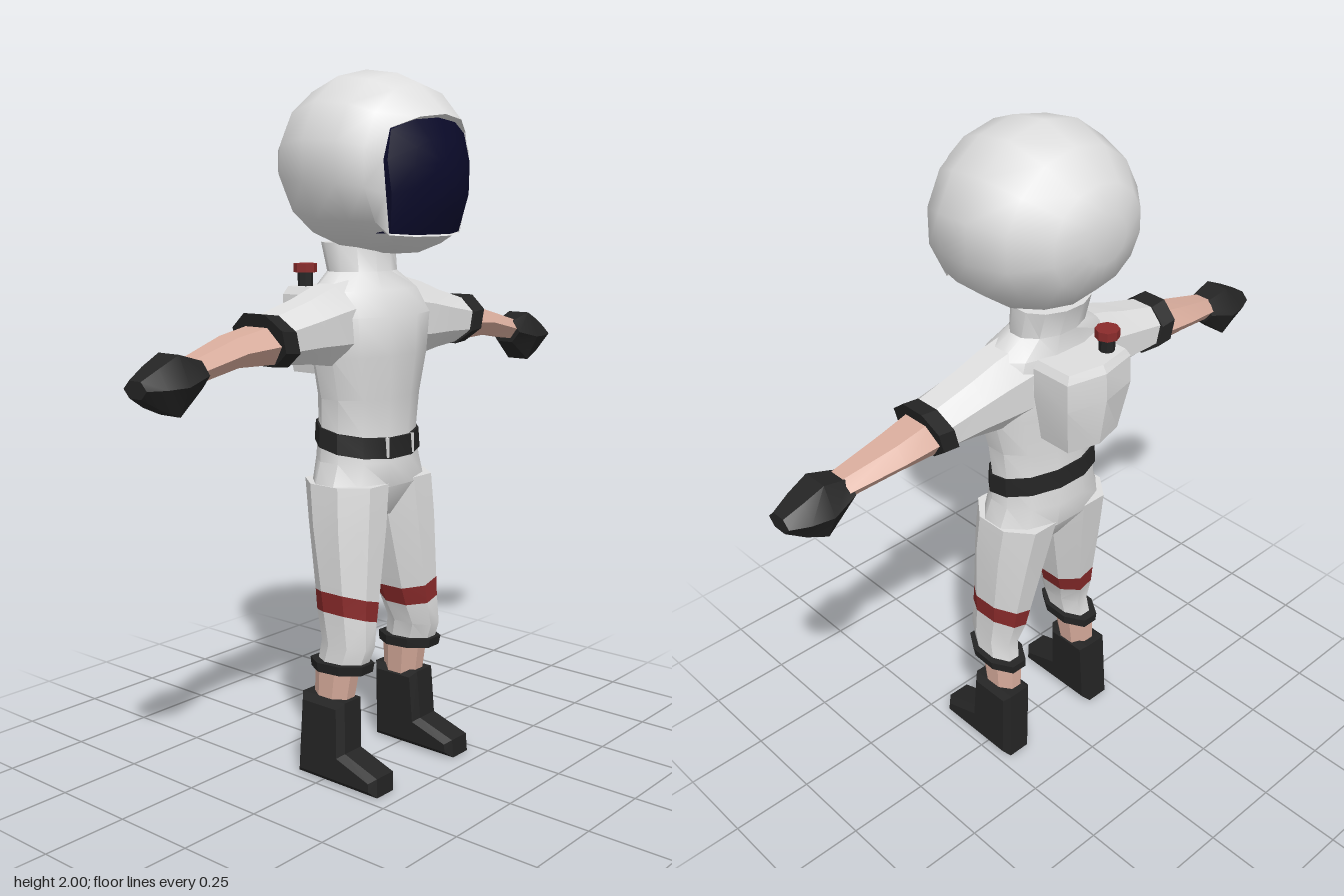
import * as THREE from 'three';
import { toCreasedNormals } from 'three/addons/utils/BufferGeometryUtils.js';

const mat = (name, color) => Object.assign(new THREE.MeshStandardMaterial({ color }), { name });

// Skin a list of equal rings; flip reverses the winding for mirrored parts
function loft(rings, { flip = false, capStart = true, capEnd = true, crease = 0.5 } = {}) {
  const n = rings[0].length, pos = rings.flat(2), idx = [];
  const tri = (a, b, c) => (flip ? idx.push(a, c, b) : idx.push(a, b, c));
  for (let j = 0; j < rings.length - 1; j++) {
    for (let i = 0; i < n; i++) {
      const a = j * n + i, b = j * n + (i + 1) % n;
      tri(a, b, a + n);
      tri(b, b + n, a + n);
    }
  }
  const cap = (j, end) => {
    const c = pos.length / 3;
    for (let k = 0; k < 3; k++) pos.push(rings[j].reduce((s, p) => s + p[k], 0) / n);
    for (let i = 0; i < n; i++) {
      const a = j * n + i, b = j * n + (i + 1) % n;
      end ? tri(c, a, b) : tri(c, b, a);
    }
  };
  if (capStart) cap(0, false);
  if (capEnd) cap(rings.length - 1, true);
  const g = new THREE.BufferGeometry();
  g.setAttribute('position', new THREE.Float32BufferAttribute(pos, 3));
  g.setIndex(idx);
  return toCreasedNormals(g, crease);
}

// Flat-sided polygon filling a box: unit [cos, sin] pairs
const polygon = n => Array.from({ length: n }, (_, i) => {
  const t = (i + 0.5) * 2 * Math.PI / n, k = 1 / Math.cos(Math.PI / n);
  return [k * Math.cos(t), k * Math.sin(t)];
});

// Horizontal ring, optionally tilted across x or z
const ringY = (n, y, x0, x1, z0, z1, tx = 0, tz = 0) => polygon(n).map(([c, s]) => {
  const dx = c * (x1 - x0) / 2, dz = -s * (z1 - z0) / 2;
  return [(x0 + x1) / 2 + dx, y + tx * dx + tz * dz, (z0 + z1) / 2 + dz];
});

// Upright ring across x, its top leaning outwards by lean
const ringX = (n, x, y0, y1, z0, z1, lean = 0) => polygon(n).map(([c, s]) => {
  const dy = c * (y1 - y0) / 2;
  return [x + lean * dy, (y0 + y1) / 2 + dy, (z0 + z1) / 2 + s * (z1 - z0) / 2];
});

export function createModel() {
  const model = new THREE.Group();
  model.name = 'astronaut';
  const white = mat('suitWhite', 0xdedede), black = mat('rubberBlack', 0x242424);
  const skin = mat('skin', 0xd8ac9c), red = mat('red', 0x8a2b2b), navy = mat('visorNavy', 0x0b0b2b);
  const add = (name, geo, material, parent = model) => {
    const m = new THREE.Mesh(geo, material);
    m.name = name;
    parent.add(m);
    return m;
  };

  // Helmet: rings from back to front, ending in the face opening
  const HALF = 7;
  const mirrorRing = half => [
    ...half.map(([x, y, z]) => [-x, y, z]),
    ...half.slice(1, HALF).reverse()
  ];
  const shell = [
    [-0.245, 0.07, 1.82, 1.69], [-0.215, 0.155, 1.89, 1.61], [-0.13, 0.235, 1.96, 1.535],
    [-0.02, 0.27, 2.0, 1.5], [0.09, 0.262, 1.985, 1.5], [0.165, 0.235, 1.955, 1.505]
  ].map(([z, r, top, bottom]) => mirrorRing(Array.from({ length: HALF + 1 }, (_, i) => {
    const t = Math.PI * i / HALF;
    return [r * Math.sin(t), (top + bottom) / 2 + (top - bottom) / 2 * Math.cos(t), z];
  })));
  const opening = mirrorRing([
    [0, 1.87, 0.255], [0.09, 1.86, 0.24], [0.165, 1.83, 0.2], [0.186, 1.75, 0.195],
    [0.175, 1.66, 0.195], [0.155, 1.555, 0.19], [0.08, 1.55, 0.22], [0, 1.55, 0.235]
  ]);
  const MID = 1.71;
  const shrink = (k, zRule) => opening.map(([x, y, z]) => {
    const px = x * k, py = MID + (y - MID) * k;
    return [px, py, zRule(px, py, z)];
  });
  const lip = shrink(0.95, (x, y, z) => z - 0.025);
  add('helmet', loft([...shell, opening, lip], { capEnd: false, crease: 0.9 }), white);

  // Domed visor
  const dome = (x, y) => 0.265 - 1.8 * x * x - 1.5 * (y - MID) ** 2;
  add('visor', loft([
    shrink(0.97, (x, y) => dome(x, y) - 0.05),
    ...[0.97, 0.6, 0.25].map(k => shrink(k, dome))
  ], { capStart: false, crease: 0.6 }), navy);

  // Torso from crotch to neck
  add('torso', loft([
    [0.755, 0.04, -0.07, 0.06], [0.85, 0.195, -0.135, 0.11], [0.92, 0.168, -0.138, 0.107],
    [1.0, 0.163, -0.13, 0.098], [1.1, 0.17, -0.125, 0.105], [1.22, 0.2, -0.13, 0.116],
    [1.33, 0.215, -0.13, 0.118], [1.4, 0.19, -0.125, 0.08], [1.45, 0.115, -0.115, 0.045],
    [1.53, 0.115, -0.14, 0.04]
  ].map(([y, w, z0, z1]) => ringY(12, y, -w, w, z0, z1)), { crease: 0.7 }), white);

  // Belt, higher at the back, with narrow gaps beside the buckle
  add('belt', loft([
    ringY(12, 0.955, -0.172, 0.172, -0.141, 0.11, 0, -0.2),
    ringY(12, 1.012, -0.17, 0.17, -0.136, 0.105, 0, -0.2)
  ]), black);
  for (const s of [-1, 1]) {
    add('buckleGap', new THREE.BoxGeometry(0.008, 0.056, 0.009), white).position.set(s * 0.055, 0.962, 0.103);
  }

  // Boot: side profile extruded across with a chamfer
  const profile = new THREE.Shape([
    [-0.098, 0], [0.198, 0], [0.195, 0.055], [0.075, 0.095], [0.068, 0.242], [-0.092, 0.242]
  ].map(([z, y]) => new THREE.Vector2(z, y)));
  const makeBoot = s => {
    const g = new THREE.ExtrudeGeometry(profile, {
      depth: 0.07, bevelEnabled: true, bevelSegments: 1, bevelSize: 0.018, bevelThickness: 0.018, bevelOffset: -0.018
    });
    g.translate(0, 0, -0.035).rotateY(-Math.PI / 2);
    const p = g.attributes.position;
    for (let i = 0; i < p.count; i++) p.setX(i, p.getX(i) + s * (0.178 - 0.05 * p.getY(i)));
    g.computeVertexNormals();
    return g;
  };

  for (const s of [1, -1]) {
    const side = s > 0 ? 'left' : 'right';
    const limb = rings => loft(rings.map(r => r.map(([x, y, z]) => [s * x, y, z])), { flip: s < 0 });

    // Leg with red knee band, cuff, bare ankle and boot
    const leg = new THREE.Group();
    leg.name = side + 'Leg';
    model.add(leg);
    const bandTop = ringY(8, 0.535, 0.067, 0.2, -0.076, 0.115, 0.3);
    const bandBottom = ringY(8, 0.478, 0.083, 0.197, -0.068, 0.116, 0.3);
    add('thigh', limb([bandTop, ringY(8, 0.74, 0.018, 0.203, -0.112, 0.114), ringY(8, 0.86, 0, 0.195, -0.134, 0.11)]), white, leg);
    add('kneeBand', limb([bandBottom, bandTop]), red, leg);
    add('shin', limb([ringY(8, 0.345, 0.108, 0.2, -0.055, 0.1), ringY(8, 0.4, 0.103, 0.196, -0.046, 0.12), bandBottom]), white, leg);
    add('legCuff', limb([ringY(8, 0.322, 0.094, 0.214, -0.078, 0.112, 0, 0.06), ringY(8, 0.35, 0.092, 0.218, -0.08, 0.118, 0, 0.06)]), black, leg);
    add('ankle', limb([ringY(8, 0.22, 0.118, 0.2, -0.068, 0.05), ringY(8, 0.335, 0.108, 0.2, -0.068, 0.07)]), skin, leg);
    add('boot', makeBoot(s), black, leg);

    // Arm with sleeve, cuff, bare forearm and gloved hand
    const arm = new THREE.Group();
    arm.name = side + 'Arm';
    model.add(arm);
    add('sleeve', limb([
      ringX(8, 0.1, 1.19, 1.435, -0.11, 0.07), ringX(8, 0.2, 1.2, 1.41, -0.105, 0.075),
      ringX(8, 0.28, 1.212, 1.383, -0.1, 0.072), ringX(8, 0.41, 1.222, 1.345, -0.095, 0.068, 0.25)
    ]), white, arm);
    add('sleeveCuff', limb([
      ringX(8, 0.386, 1.214, 1.352, -0.106, 0.077, 0.25), ringX(8, 0.437, 1.218, 1.358, -0.106, 0.075, 0.25)
    ]), black, arm);
    add('forearm', limb([
      ringX(6, 0.42, 1.226, 1.328, -0.085, 0.055), ringX(6, 0.54, 1.228, 1.305, -0.082, 0.04),
      ringX(6, 0.7, 1.2, 1.262, -0.045, 0.035)
    ]), skin, arm);
    add('glove', limb([
      ringX(6, 0.675, 1.192, 1.26, -0.052, 0.045), ringX(6, 0.755, 1.13, 1.283, -0.07, 0.058),
      ringX(6, 0.815, 1.155, 1.255, -0.058, 0.05), ringX(6, 0.866, 1.185, 1.228, -0.038, 0.035)
    ]), black, arm);
  }

  // Backpack with a ridged back face
  const packRing = (y, w, back, ridge) => [
    [w, y, -0.08], [w, y, back], [0, y, ridge], [-w, y, back], [-w, y, -0.08]
  ];
  add('backpack', loft([
    packRing(1.155, 0.095, -0.215, -0.24), packRing(1.3, 0.12, -0.235, -0.262),
    packRing(1.38, 0.118, -0.233, -0.258), packRing(1.402, 0.105, -0.225, -0.245)
  ], { crease: 0.2 }), white);

  // Valve on top of the backpack
  const valve = new THREE.Group();
  valve.name = 'valve';
  valve.position.set(-0.065, 0, -0.195);
  model.add(valve);
  add('valveStem', toCreasedNormals(new THREE.CylinderGeometry(0.022, 0.022, 0.06, 8), 0.5), black, valve).position.y = 1.418;
  add('valveKnob', toCreasedNormals(new THREE.CylinderGeometry(0.034, 0.034, 0.025, 8), 0.5), red, valve).position.y = 1.454;

  return model;
}
